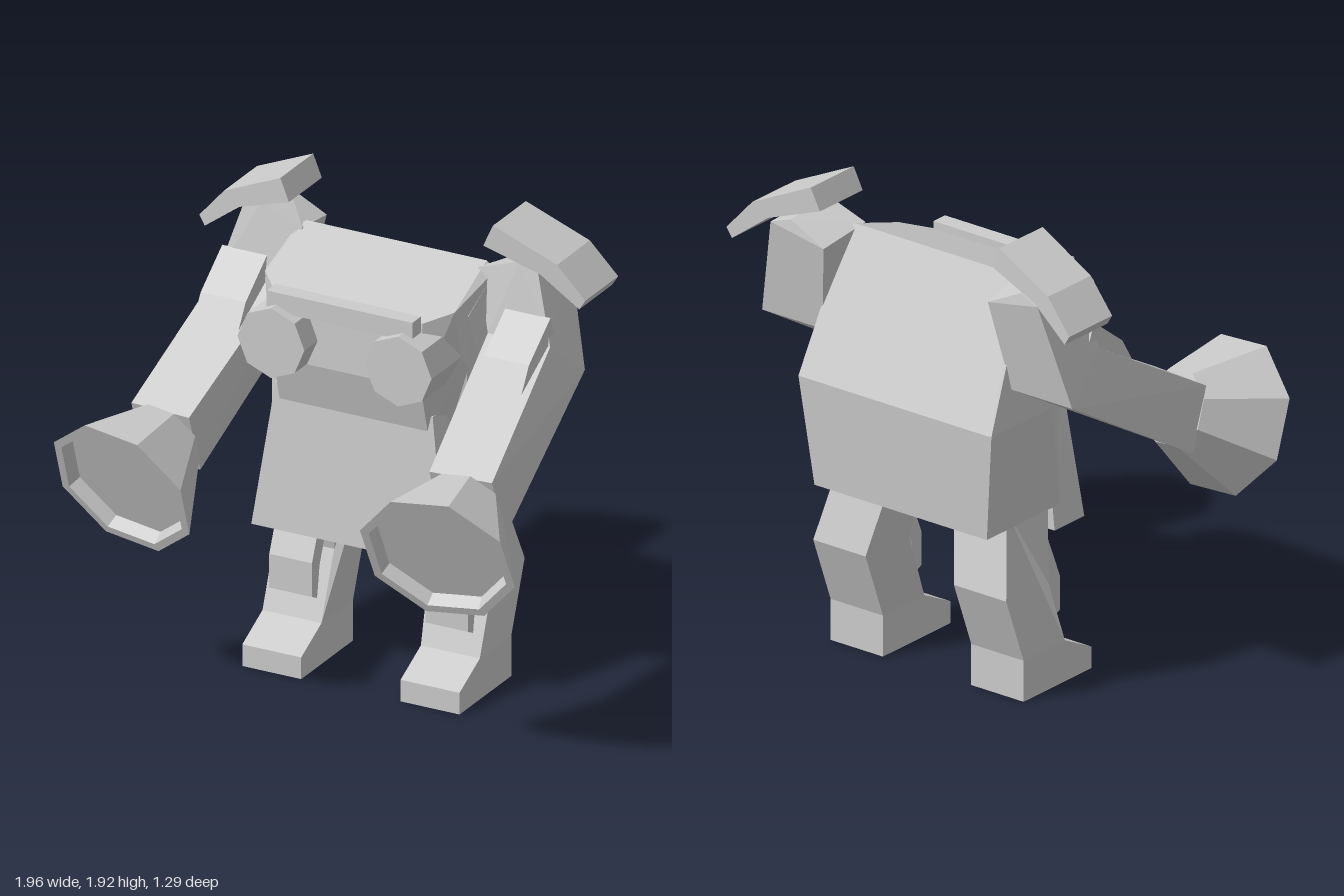
import * as THREE from 'three';
import { ConvexGeometry } from 'three/addons/geometries/ConvexGeometry.js';

const mat = new THREE.MeshStandardMaterial({ color: 0xcccccc, flatShading: true });

function add(parent, name, geometry) {
  const mesh = new THREE.Mesh(geometry, mat);
  mesh.name = name;
  parent.add(mesh);
  return mesh;
}

const hull = (pts) => new ConvexGeometry(pts.map((p) => new THREE.Vector3(...p)));

// Hull of points mirrored across x = 0
const symHull = (pts) => hull(pts.flatMap(([x, y, z]) => [[x, y, z], [-x, y, z]]));

const outline = (pts) => new THREE.Shape(pts.map((p) => new THREE.Vector2(...p)));

// Side profile of [z, y] points, extruded from x0 to x1
function slab(pts, x0, x1) {
  const g = new THREE.ExtrudeGeometry(outline(pts), { depth: x1 - x0, bevelEnabled: false });
  return g.rotateY(-Math.PI / 2).translate(x1, 0, 0);
}

// Move each vertex by a rule
function reshape(g, rule) {
  const p = g.attributes.position;
  const v = new THREE.Vector3();
  for (let i = 0; i < p.count; i++) {
    rule(v.fromBufferAttribute(p, i));
    p.setXYZ(i, v.x, v.y, v.z);
  }
  g.computeVertexNormals();
  return g;
}

function makeSide(name) {
  const side = new THREE.Group();
  side.name = name;

  // Leg with a forward foot, leaning inward above the knee
  const leg = slab([
    [-0.22, 0.78], [-0.3, 0.44], [-0.2, 0.17], [-0.04, 0.09], [-0.04, 0],
    [-0.45, 0], [-0.45, 0.17], [-0.555, 0.45], [-0.47, 0.78],
  ], 0.215, 0.47);
  add(side, 'leg', reshape(leg, (v) => { v.x -= Math.max(0, v.y - 0.45) * 0.2; }));

  // Bent plate in front of the knee
  add(side, 'kneePlate', slab([
    [-0.25, 0.59], [-0.18, 0.42], [-0.18, 0.28], [-0.22, 0.26], [-0.24, 0.39], [-0.31, 0.57],
  ], 0.245, 0.43));

  // Arm
  add(side, 'upperArm', hull([
    [0.38, 1.72, -0.35], [0.56, 1.78, -0.35], [0.64, 1.75, -0.35],
    [0.4, 1.68, -0.58], [0.56, 1.76, -0.58], [0.65, 1.73, -0.59],
    [0.45, 1.48, -0.3], [0.72, 1.48, -0.3], [0.46, 1.31, -0.51], [0.755, 1.31, -0.51],
  ]));
  add(side, 'forearm', hull([
    [0.45, 1.48, -0.3], [0.72, 1.48, -0.3], [0.46, 1.31, -0.51], [0.755, 1.31, -0.51],
    [0.52, 1.15, 0.29], [0.78, 1.15, 0.27], [0.52, 0.9, 0.2], [0.79, 0.9, 0.18],
  ]));
  add(side, 'armPad', slab([
    [-0.09, 1.36], [-0.15, 1.46], [-0.32, 1.59], [-0.36, 1.5], [-0.28, 1.45],
  ], 0.515, 0.71));

  // Flared eight-sided cuff with a shallow recess in its mouth
  const profile = [[0, 0], [0.155, 0], [0.315, 0.31], [0.28, 0.31], [0.265, 0.255], [0, 0.255]];
  const cuff = add(side, 'cuff', new THREE.LatheGeometry(
    profile.map((p) => new THREE.Vector2(...p)), 8, -0.16));
  const axis = new THREE.Vector3(0.12, -0.38, 0.92).normalize();
  cuff.quaternion.setFromUnitVectors(new THREE.Vector3(0, 1, 0), axis);
  cuff.position.set(0.683, 0.915, 0.525).addScaledVector(axis, -0.31);

  // Bent shoulder plate, swept slightly backward towards the outside
  const plate = new THREE.ExtrudeGeometry(outline([
    [0.46, 1.92], [0.42, 1.83], [0.65, 1.75], [0.81, 1.63], [0.835, 1.67], [0.72, 1.8],
  ]), { depth: 0.26, bevelEnabled: false });
  add(side, 'shoulderPlate', reshape(plate, (v) => { v.z += -0.58 - (v.x - 0.44) * 0.12; }));

  // Eight-sided eye
  const eye = new THREE.CylinderGeometry(0.145, 0.145, 0.25, 8).rotateX(Math.PI / 2);
  add(side, 'eye', eye.translate(0.275, 1.435, -0.035));
  return side;
}

export function createModel() {
  const model = new THREE.Group();
  model.name = 'robot';

  add(model, 'torso', symHull([
    [0.42, 0.71, -0.61], [0.42, 0.71, -0.17],
    [0.47, 1.16, -0.645], [0.47, 1.16, -0.28], [0.38, 1.16, -0.17],
    [0.43, 1.7, -0.4], [0.39, 1.73, -0.4], [0.42, 1.58, -0.2],
  ]));

  // Head with chamfered front corners and a receding jaw
  add(model, 'head', symHull([
    [0.39, 1.73, -0.4], [0.43, 1.7, -0.4], [0.41, 1.63, -0.11], [0.32, 1.6, -0.02],
    [0.32, 1.33, -0.01], [0.32, 1.1, -0.07], [0.42, 1.42, -0.15],
    [0.37, 1.1, -0.2], [0.44, 1.2, -0.35],
  ]));
  add(model, 'brow', new THREE.BoxGeometry(0.63, 0.08, 0.07)).position.set(0, 1.59, 0.015);

  add(model, 'chestPlate', symHull([
    [0.42, 0.61, -0.02], [0.42, 0.61, -0.2],
    [0.34, 1.2, -0.065], [0.36, 1.2, -0.13], [0.36, 1.2, -0.2],
  ]));

  const left = makeSide('leftSide');
  const right = makeSide('rightSide');
  right.scale.x = -1;
  model.add(left, right);
  return model;
}
